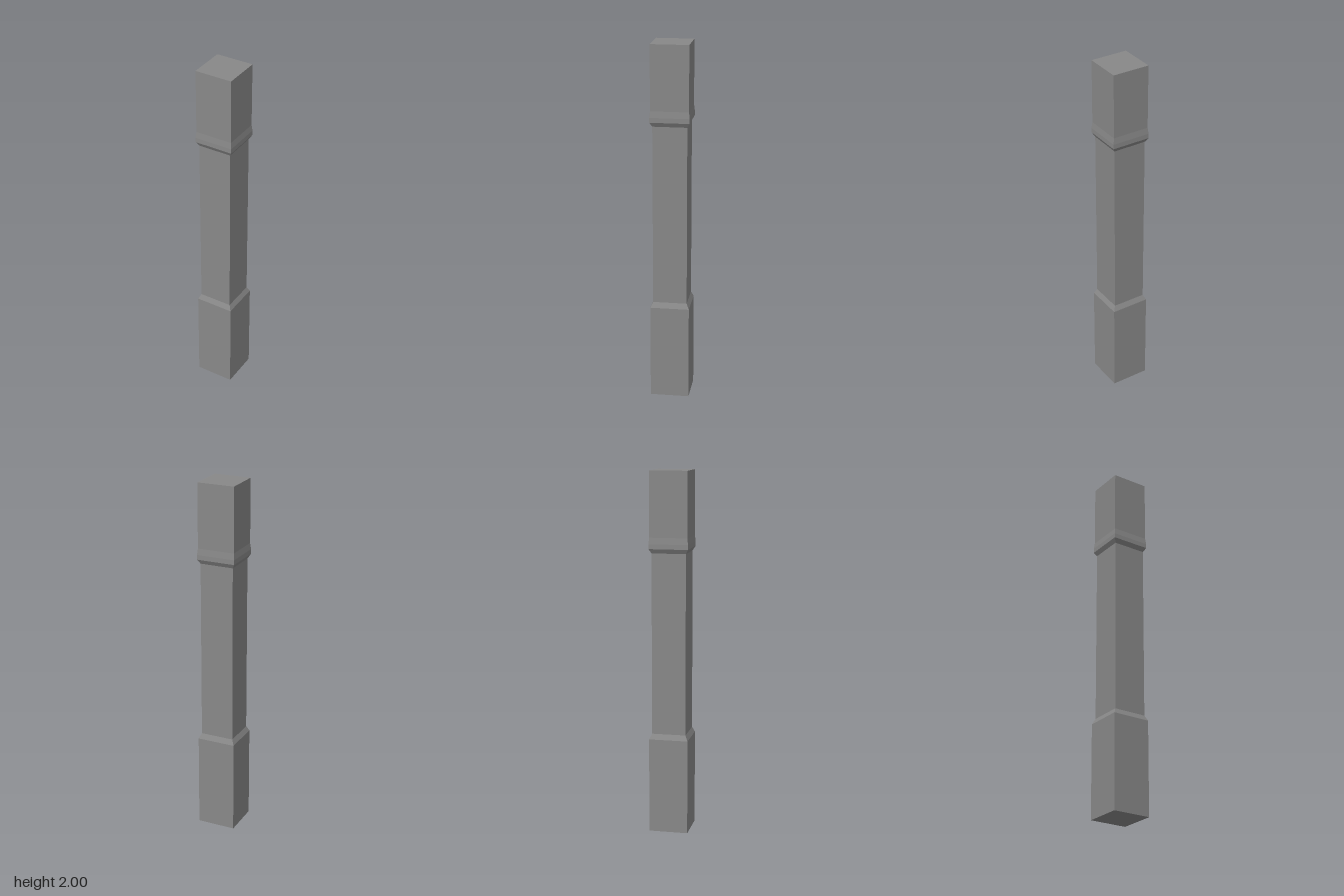
import * as THREE from 'three';

const stone = new THREE.MeshStandardMaterial({ color: 0x888888, flatShading: true });
stone.name = 'grey stone';

// Square section between two heights, given its half widths at bottom and top
function section(name, y0, half0, y1, half1) {
  const geometry = new THREE.CylinderGeometry(
    half1 * Math.SQRT2, half0 * Math.SQRT2, y1 - y0, 4, 1, true, Math.PI / 4);
  geometry.translate(0, (y0 + y1) / 2, 0);
  const mesh = new THREE.Mesh(geometry, stone);
  mesh.name = name;
  return mesh;
}

// Flat square end face, turned up or down
function endFace(name, y, half, up) {
  const geometry = new THREE.PlaneGeometry(2 * half, 2 * half);
  geometry.rotateX(up ? -Math.PI / 2 : Math.PI / 2).translate(0, y, 0);
  const mesh = new THREE.Mesh(geometry, stone);
  mesh.name = name;
  return mesh;
}

export function createModel() {
  const pillar = new THREE.Group();
  pillar.name = 'pillar';

  const base = 0.108, shaft = 0.094, head = 0.104;
  pillar.add(
    // Plinth and its sloped shoulder
    endFace('underside', 0, base, false),
    section('plinth', 0, base, 0.53, base),
    section('plinthShoulder', 0.53, base, 0.56, shaft),
    // Slim shaft
    section('shaft', 0.56, shaft, 1.56, shaft),
    // Collar that flares out, then tapers into the head
    section('collarFlare', 1.56, shaft, 1.584, base),
    section('collarBand', 1.584, base, 1.61, base),
    section('collarTaper', 1.61, base, 1.645, head),
    // Plain head block
    section('head', 1.645, head, 2, head),
    endFace('topFace', 2, head, true),
  );
  return pillar;
}
